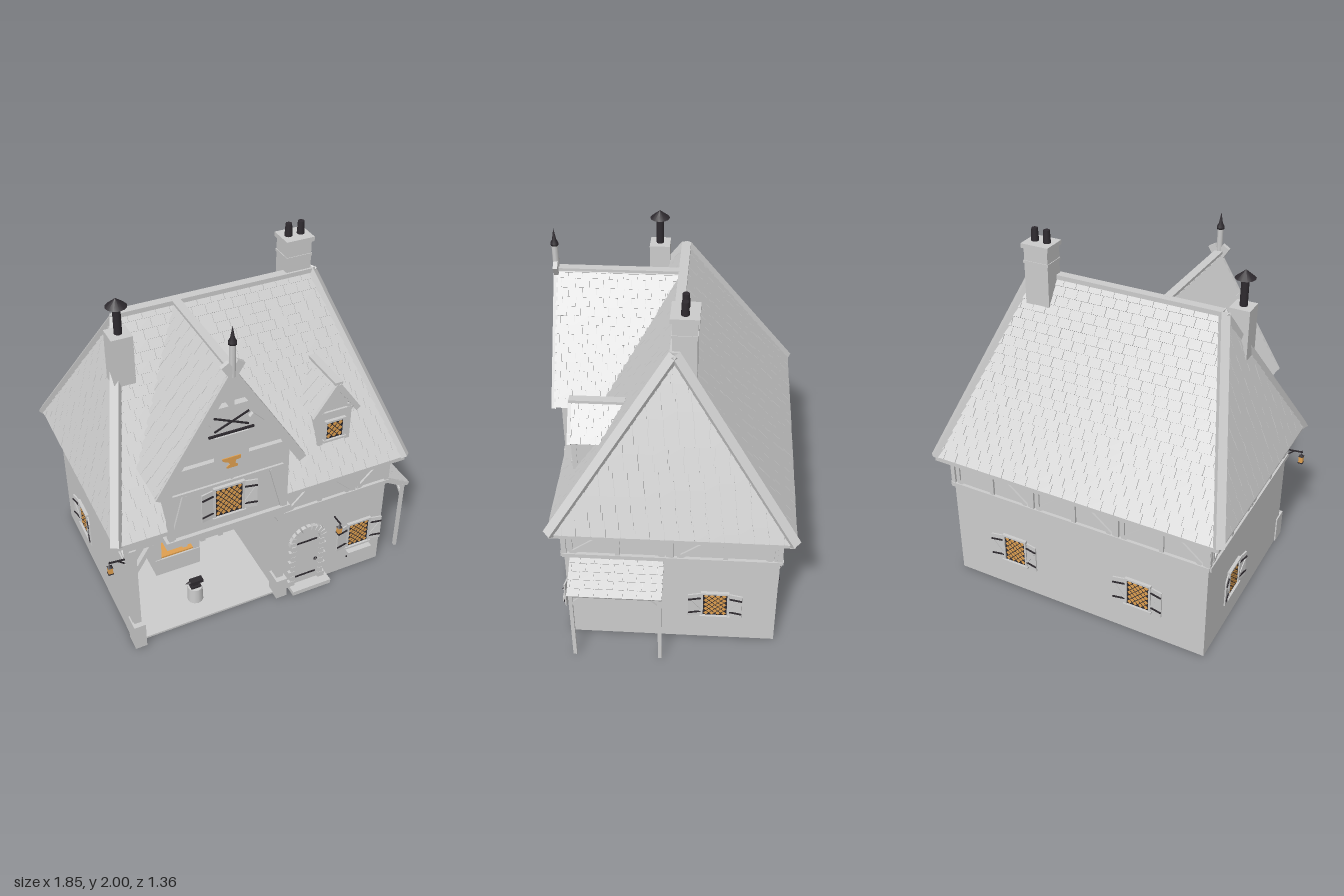
import * as THREE from 'three';
import { mergeGeometries } from 'three/addons/utils/BufferGeometryUtils.js';
import { ConvexGeometry } from 'three/addons/geometries/ConvexGeometry.js';

const V = (x, y, z) => new THREE.Vector3(x, y, z);

export function createModel() {
  const model = new THREE.Group();
  const mat = (name, color) => Object.assign(new THREE.MeshStandardMaterial({ color }), { name });
  const grey = mat('pale grey', 0xcccccc), iron = mat('dark iron', 0x2e2a2f), amber = mat('amber glow', 0xe0a050);

  let seed = 7;
  const rand = () => (seed = (seed * 16807) % 2147483647) / 2147483647;

  const add = (parent, name, geo, m, x = 0, y = 0, z = 0) => {
    const mesh = new THREE.Mesh(geo, m);
    mesh.name = name;
    mesh.position.set(x, y, z);
    parent.add(mesh);
    return mesh;
  };
  const group = (name, x = 0, y = 0, z = 0, ry = 0, parent = model) => {
    const g = new THREE.Group();
    g.name = name;
    g.position.set(x, y, z);
    g.rotation.y = ry;
    parent.add(g);
    return g;
  };
  const box = (p, name, m, x0, x1, y0, y1, z0, z1) =>
    add(p, name, new THREE.BoxGeometry(x1 - x0, y1 - y0, z1 - z0), m, (x0 + x1) / 2, (y0 + y1) / 2, (z0 + z1) / 2);
  // straight timber from a to b; d is its depth along the facing direction
  const beam = (p, name, m, a, b, w, d, facing = V(0, 0, 1)) => {
    const y = b.clone().sub(a), len = y.length();
    y.normalize();
    const x = y.clone().cross(facing).normalize(), z = x.clone().cross(y);
    const mesh = add(p, name, new THREE.BoxGeometry(w, len, d), m);
    mesh.quaternion.setFromRotationMatrix(new THREE.Matrix4().makeBasis(x, y, z));
    mesh.position.copy(a).lerp(b, 0.5);
    return mesh;
  };
  const plate = (points, depth) => new THREE.ExtrudeGeometry(
    new THREE.Shape(points.map(([x, y]) => new THREE.Vector2(x, y))), { depth, bevelEnabled: false });

  // courses of lapped shingles; a, b run along the eave left to right, ta, tb along the top
  const shingles = (name, a, b, ta, tb, rows, width = 0.075) => {
    const u = b.clone().sub(a).normalize(), rise = ta.clone().sub(a);
    const v = rise.clone().addScaledVector(u, -rise.dot(u)), h = v.length() / rows;
    v.normalize();
    const n = u.clone().cross(v), tiles = [];
    const tilt = v.clone().addScaledVector(n, -0.1).normalize(), out = u.clone().cross(tilt);
    for (let i = 0; i < rows; i++) {
      const t = (i + 0.5) / rows, l = a.clone().lerp(ta, t), len = b.clone().lerp(tb, t).sub(l).dot(u);
      for (let s = -(i % 2) * width / 2 - rand() * width * 0.3; s < len; s += width) {
        const s0 = Math.max(s, 0), s1 = Math.min(s + width, len), th = 0.007 + rand() * 0.004;
        if (s1 - s0 < 0.008) continue;
        const c = l.clone().addScaledVector(u, (s0 + s1) / 2).addScaledVector(n, 0.003);
        tiles.push(new THREE.BoxGeometry(s1 - s0 - 0.002, h * 1.04, th)
          .applyMatrix4(new THREE.Matrix4().makeBasis(u, tilt, out).setPosition(c)));
      }
    }
    add(model, name, mergeGeometries(tiles), grey);
  };
  const slab = (name, pts, thick) => {
    const n = pts[1].clone().sub(pts[0]).cross(pts[2].clone().sub(pts[0])).normalize();
    add(model, name, new ConvexGeometry([...pts, ...pts.map(p => p.clone().addScaledVector(n, -thick))]), grey);
  };
  // pair of slopes for a cross gable running back into the main roof
  const gableRoof = (name, cx, ridge, half, eave, zf, zEave, zRidge, rows) => {
    for (const s of [1, -1]) {
      const f = V(cx + s * half, eave, zf), k = V(cx + s * half, eave, zEave);
      const tf = V(cx, ridge, zf), tk = V(cx, ridge, zRidge);
      const [a, b, ta, tb] = s > 0 ? [f, k, tf, tk] : [k, f, tk, tf];
      slab(name + 'Slab', [a, b, tb, ta], 0.022);
      shingles(name + 'Shingles', a, b, ta, tb, rows);
    }
    beam(model, name + 'RidgeCap', grey, V(cx, ridge + 0.005, zf), V(cx, ridge + 0.005, zRidge), 0.045, 0.016, V(0, 1, 0));
  };

  // ground floor walls, open workshop and its lining
  box(model, 'backWall', grey, -0.82, 0.73, 0, 0.79, -0.6, -0.57);
  box(model, 'leftHandWall', grey, -0.82, -0.79, 0, 0.79, -0.6, 0.53);
  box(model, 'rightHandWall', grey, 0.7, 0.73, 0, 0.79, -0.6, 0.53);
  box(model, 'doorWall', grey, 0.05, 0.73, 0, 0.79, 0.5, 0.53);
  box(model, 'workshopLintel', grey, -0.82, 0.08, 0.69, 0.79, 0.5, 0.535);
  box(model, 'workshopPartition', grey, 0.05, 0.08, 0, 0.72, -0.07, 0.52);
  box(model, 'workshopBackWall', grey, -0.8, 0.06, 0, 0.72, -0.07, -0.04);
  box(model, 'workshopCeiling', grey, -0.8, 0.06, 0.7, 0.72, -0.05, 0.52);
  box(model, 'workshopFloor', grey, -0.815, 0.06, 0, 0.012, -0.06, 0.53);
  for (const s of [-1, 1]) {
    const x = -0.365 + s * 0.43;
    box(model, 'workshopPost', grey, x - 0.02, x + 0.02, 0, 0.7, 0.49, 0.545);
    box(model, 'postFooting', grey, x - 0.033, x + 0.033, 0, s < 0 ? 0.165 : 0.135, 0.48, 0.575);
    beam(model, 'workshopBrace', grey, V(x - s * 0.01, 0.53, 0.52), V(x - s * 0.11, 0.69, 0.52), 0.025, 0.03);
  }

  // half-timbered band under the eaves
  const timberBand = (x, z, ry, L, n) => {
    const g = group('timberBand', x, 0, z, ry), h = L / 2;
    box(g, 'sill', grey, -h, h, 0.6, 0.625, -0.01, 0.018);
    box(g, 'wallPlate', grey, -h, h, 0.765, 0.79, -0.01, 0.018);
    for (let i = 0; i <= n; i++) {
      const px = -h + 0.012 + (L - 0.024) * i / n;
      box(g, 'stud', grey, px - 0.012, px + 0.012, 0.62, 0.77, -0.01, 0.013);
      if (i === n) continue;
      const q = (L - 0.024) / n, e = i % 2 ? 1 : -1, m = px + q / 2;
      beam(g, 'bandBrace', grey, V(m + e * q * 0.36, 0.625, 0.002), V(m - e * q * 0.3, 0.765, 0.002), 0.024, 0.018);
      box(g, 'shortStud', grey, m + e * q * 0.4, m + e * q * 0.4 + 0.018, 0.62, 0.77, -0.01, 0.01);
    }
  };
  timberBand(0.405, 0.53, 0, 0.67, 3);
  timberBand(-0.045, -0.6, Math.PI, 1.57, 6);
  timberBand(0.73, -0.035, Math.PI / 2, 1.15, 4);
  timberBand(-0.82, -0.035, -Math.PI / 2, 1.15, 4);

  // main hipped roof
  const ey = 0.81, c = [V(-0.89, ey, 0.59), V(0.795, ey, 0.59), V(0.795, ey, -0.665), V(-0.89, ey, -0.665)];
  const rl = V(-0.6, 1.735, -0.038), rr = V(0.5, 1.735, -0.038);
  add(model, 'mainRoof', new ConvexGeometry([...c, ...c.map(p => V(p.x, 0.782, p.z)), rl, rr]), grey);
  shingles('frontShingles', c[0], c[1], rl, rr, 21);
  shingles('rightHandShingles', c[1], c[2], rr, rr, 21);
  shingles('backShingles', c[2], c[3], rr, rl, 21);
  shingles('leftHandShingles', c[3], c[0], rl, rl, 21);
  c.forEach((p, i) => {
    const top = i === 1 || i === 2 ? rr : rl;
    beam(model, 'hipCap', grey, p, top, 0.05, 0.035, V(Math.sign(p.x) * 0.8, 0.6, Math.sign(p.z) * 0.6));
  });
  beam(model, 'ridgeCap', grey, rl, rr, 0.05, 0.025, V(0, 1, 0));

  // jettied front gable
  const G = -0.285;
  add(model, 'gableWall', plate([[-0.33, 0.73], [0.33, 0.73], [0.33, 1.17], [0, 1.7], [-0.33, 1.17]], 0.5), grey, G, 0, 0.1);
  gableRoof('gable', G, 1.735, 0.4, 1.1, 0.645, 0.4, -0.03, 15);
  const gable = group('gableTimber', G, 0, 0.6);
  box(gable, 'bottomBeam', grey, -0.35, 0.35, 0.71, 0.755, -0.07, 0.022);
  box(gable, 'middleRail', grey, -0.33, 0.33, 1.03, 1.045, -0.02, 0.012);
  box(gable, 'tieBeam', grey, -0.335, 0.335, 1.18, 1.205, -0.02, 0.025);
  box(gable, 'collarBeam', grey, -0.14, 0.14, 1.5, 1.525, -0.02, 0.035);
  box(gable, 'kingPost', grey, -0.014, 0.014, 1.5, 1.72, -0.02, 0.04);
  for (const s of [-1, 1]) {
    box(gable, 'cornerPost', grey, s * 0.32 - 0.014, s * 0.32 + 0.014, 0.75, 1.19, -0.02, 0.015);
    beam(gable, 'lowerBrace', grey, V(s * 0.31, 0.76, 0.003), V(s * 0.24, 1.03, 0.003), 0.024, 0.018);
    beam(gable, 'upperBrace', grey, V(s * 0.33, 1.2, 0.02), V(s * 0.11, 1.43, 0.02), 0.026, 0.02);
    beam(gable, 'bargeBoard', grey, V(s * 0.39, 1.085, 0.045), V(-s * 0.042, 1.775, 0.045 + s * 0.002), 0.045, 0.024);
  }
  for (let i = 0; i < 6; i++) box(gable, 'joistEnd', grey, -0.26 + i * 0.1, -0.235 + i * 0.1, 0.685, 0.715, -0.07, 0.01);
  add(model, 'finialPost', new THREE.CylinderGeometry(0.017, 0.017, 0.18, 8), grey, G, 1.79, 0.645);
  add(model, 'finialSpire', new THREE.LatheGeometry([[0.001, 0], [0.022, 0], [0.022, 0.012], [0.012, 0.03], [0, 0.095]]
    .map(([x, y]) => new THREE.Vector2(x, y)), 8), iron, G, 1.875, 0.645);

  // hanging shield with crossed tools
  const sign = group('hangingSign', G, 0, 0.632);
  add(sign, 'shield', plate([[-0.09, 1.36], [-0.09, 1.13], [0, 1.08], [0.09, 1.13], [0.09, 1.36]], 0.012), grey);
  add(sign, 'anvilEmblem', plate([[-0.055, 1.225], [-0.05, 1.21], [-0.02, 1.195], [-0.012, 1.182], [-0.03, 1.17], [-0.03, 1.16],
    [0.03, 1.16], [0.03, 1.17], [0.015, 1.182], [0.02, 1.2], [0.045, 1.205], [0.045, 1.225]], 0.005), amber, 0, 0, 0.012);
  beam(sign, 'signBar', iron, V(-0.12, 1.372, 0.006), V(0.12, 1.372, 0.006), 0.01, 0.01);
  for (const s of [-1, 1]) beam(sign, 'crossedTool', iron, V(-s * 0.09, 1.395, 0.006), V(s * 0.09, 1.475, 0.006 + s * 0.003), 0.009, 0.006);

  // leaded window with open shutters, facing local +z
  const windowUnit = (x, y, z, ry, w, h, shutters = true) => {
    const g = group('window', x, y, z, ry), a = w / 2, b = h / 2, f = 0.012;
    box(g, 'leading', iron, -a, a, -b, b, 0, 0.008);
    box(g, 'windowSill', grey, -a - 0.018, a + 0.018, -b - f, -b, 0, 0.022);
    box(g, 'windowHead', grey, -a - f, a + f, b, b + f, 0, 0.018);
    const cols = Math.round(w / 0.029), rows = Math.round(h / 0.036), panes = [];
    for (let j = 0; j < rows * 2 - 1; j++) for (let i = 0; i < cols - (j % 2); i++)
      panes.push(new THREE.CircleGeometry(1, 4).scale(w / cols * 0.42, h / rows * 0.42, 1)
        .translate(-a + w / cols * (i + 0.5 + (j % 2) / 2), -b + h / rows * (j + 1) / 2, 0.0095));
    add(g, 'glassPanes', mergeGeometries(panes), amber);
    for (const s of [-1, 1]) {
      box(g, 'windowJamb', grey, s * (a + f / 2) - f / 2, s * (a + f / 2) + f / 2, -b, b, 0, 0.016);
      if (!shutters) continue;
      const sh = group('shutter', s * (a + f), 0, 0.006, -s * 0.2, g), o = s * 0.036;
      box(sh, 'shutterBoard', grey, o - 0.034, o + 0.034, -b, b, -0.004, 0.004);
      beam(sh, 'shutterBrace', grey, V(0, -b * 0.6, 0.006), V(s * 0.066, b * 0.6, 0.006), 0.012, 0.006);
      for (const t of [-0.62, 0.62]) box(sh, 'strapHinge', iron, o - 0.034, o + 0.034, b * t - 0.004, b * t + 0.004, 0.004, 0.01);
    }
  };
  windowUnit(0.575, 0.272, 0.53, 0, 0.13, 0.165);
  windowUnit(G, 0.915, 0.6, 0, 0.15, 0.18);
  windowUnit(0.73, 0.272, -0.27, Math.PI / 2, 0.13, 0.165);
  windowUnit(-0.82, 0.272, -0.24, -Math.PI / 2, 0.13, 0.165);
  for (const x of [0.345, -0.43]) windowUnit(x, 0.272, -0.6, Math.PI, 0.13, 0.165);
  box(model, 'flowerBox', grey, 0.495, 0.65, 0.14, 0.172, 0.53, 0.58);
  for (const x of [0.515, 0.63]) beam(model, 'flowerBoxBracket', iron, V(x, 0.1, 0.535), V(x, 0.14, 0.565), 0.012, 0.01);

  // roof dormer
  const D = 0.385;
  add(model, 'dormerWall', plate([[-0.09, 0.98], [0.09, 0.98], [0.09, 1.22], [0, 1.335], [-0.09, 1.22]], 0.3), grey, D, 0, 0.185);
  gableRoof('dormer', D, 1.36, 0.13, 1.18, 0.505, 0.345, 0.22, 5);
  for (const s of [-1, 1]) {
    beam(model, 'dormerBarge', grey, V(D + s * 0.13, 1.172, 0.5), V(D, 1.355, 0.5), 0.028, 0.018);
    box(model, 'dormerPost', grey, D + s * 0.082 - 0.013, D + s * 0.082 + 0.013, 0.98, 1.21, 0.47, 0.495);
  }
  box(model, 'dormerBeam', grey, D - 0.1, D + 0.1, 1.17, 1.19, 0.47, 0.497);
  windowUnit(D, 1.065, 0.485, 0, 0.1, 0.11, false);

  // arched door with stone surround
  const door = group('door', 0.238, 0, 0.53), leaf = new THREE.Shape();
  leaf.moveTo(-0.075, 0.03).lineTo(0.075, 0.03).lineTo(0.075, 0.345).absarc(0, 0.345, 0.075, 0, Math.PI);
  add(door, 'doorLeaf', new THREE.ExtrudeGeometry(leaf, { depth: 0.008, bevelEnabled: false }), grey);
  for (const y of [0.085, 0.345]) box(door, 'doorStrap', iron, -0.07, 0.06, y - 0.004, y + 0.004, 0.008, 0.014);
  add(door, 'doorHandle', new THREE.TorusGeometry(0.009, 0.003, 5, 10), iron, 0.057, 0.185, 0.012);
  for (let i = 0; i < 11; i++) {
    const t = Math.PI * (i + 0.5) / 11;
    beam(door, 'archStone', grey, V(Math.cos(t) * 0.076, 0.345 + Math.sin(t) * 0.076, 0.008),
      V(Math.cos(t) * 0.118, 0.345 + Math.sin(t) * 0.118, 0.008), 0.024, 0.03);
  }
  for (const s of [-1, 1]) for (let i = 0; i < 8; i++) {
    const w = i % 2 ? 0.028 : 0.042, x = s * (0.076 + w / 2);
    box(door, 'jambStone', grey, x - w / 2, x + w / 2, 0.03 + i * 0.039, 0.066 + i * 0.039, -0.01, 0.022);
  }
  box(door, 'doorStep', grey, -0.108, 0.137, 0, 0.028, -0.02, 0.068);

  // forge with sloped hood and glowing bed
  const forge = group('forge', -0.39, 0, 0.04);
  box(forge, 'forgeBase', grey, -0.14, 0.14, 0, 0.13, -0.09, 0.09);
  box(forge, 'emberBed', amber, -0.1, 0.1, 0.13, 0.14, -0.08, 0.08);
  box(forge, 'forgeBack', grey, -0.14, 0.14, 0.13, 0.29, -0.09, -0.07);
  for (const s of [-1, 1]) box(forge, 'forgeCheek', grey, s * 0.12 - 0.02, s * 0.12 + 0.02, 0.13, 0.29, -0.09, 0.085);
  const hood = [[0.15, 0.285, 0.1], [0.15, 0.3, 0.1], [0.06, 0.45, 0]];
  add(forge, 'forgeHood', new ConvexGeometry(hood.flatMap(([x, y, z]) => [V(x, y, z), V(-x, y, z), V(x, y, -0.09), V(-x, y, -0.09)])), grey);
  box(forge, 'forgeFlue', grey, -0.06, 0.06, 0.44, 0.71, -0.09, 0);
  add(model, 'anvilStump', new THREE.CylinderGeometry(0.043, 0.046, 0.1, 12), grey, -0.39, 0.06, 0.38);
  const anvil = group('anvil', -0.39, 0.11, 0.38);
  box(anvil, 'anvilFoot', iron, -0.03, 0.03, 0, 0.012, -0.022, 0.022);
  box(anvil, 'anvilWaist', iron, -0.016, 0.016, 0.01, 0.03, -0.012, 0.012);
  box(anvil, 'anvilTop', iron, -0.03, 0.045, 0.028, 0.048, -0.018, 0.018);
  add(anvil, 'anvilHorn', new THREE.ConeGeometry(0.012, 0.035, 8).rotateZ(Math.PI / 2), iron, -0.045, 0.036, 0);

  // chimneys
  box(model, 'forgeChimney', grey, -0.7, -0.587, 1.2, 1.72, 0.055, 0.168);
  add(model, 'stovePipe', new THREE.CylinderGeometry(0.021, 0.021, 0.17, 12), iron, -0.643, 1.795, 0.112);
  add(model, 'pipeHood', new THREE.ConeGeometry(0.055, 0.045, 12), iron, -0.643, 1.893, 0.112);
  box(model, 'houseChimney', grey, 0.345, 0.487, 1.45, 1.91, -0.145, -0.025);
  box(model, 'chimneyCap', grey, 0.336, 0.498, 1.905, 1.93, -0.155, -0.015);
  box(model, 'chimneyBand', grey, 0.341, 0.491, 1.82, 1.835, -0.149, -0.021);
  for (const x of [0.38, 0.452]) add(model, 'chimneyPot', new THREE.CylinderGeometry(0.017, 0.021, 0.075, 12), iron, x, 1.9625, -0.085);

  // lean-to canopy on the side
  const ca = [V(0.92, 0.49, 0.5), V(0.92, 0.49, 0.005), V(0.73, 0.602, 0.005), V(0.73, 0.602, 0.5)];
  slab('canopyRoof', ca, 0.014);
  shingles('canopyShingles', ca[0], ca[1], ca[3], ca[2], 5);
  box(model, 'canopyBeam', grey, 0.88, 0.9, 0.465, 0.488, 0.01, 0.495);
  [[0.485, -1], [0.02, 1]].forEach(([z, s]) => {
    box(model, 'canopyPost', grey, 0.882, 0.898, 0, 0.48, z - 0.01, z + 0.01);
    beam(model, 'canopyBrace', grey, V(0.89, 0.4, z), V(0.89, 0.47, z + s * 0.07), 0.014, 0.012, V(1, 0, 0));
    beam(model, 'canopyRafter', grey, V(0.73, 0.575, z), V(0.9, 0.475, z), 0.014, 0.014);
  });

  // lanterns
  const lantern = (x, y, z) => {
    const g = group('lantern', x, y, z);
    box(g, 'lanternGlass', amber, -0.012, 0.012, -0.02, 0.018, -0.012, 0.012);
    box(g, 'lanternBase', iron, -0.014, 0.014, -0.026, -0.02, -0.014, 0.014);
    add(g, 'lanternCap', new THREE.ConeGeometry(0.02, 0.016, 4).rotateY(Math.PI / 4), iron, 0, 0.026, 0);
    add(g, 'lanternHook', new THREE.CylinderGeometry(0.002, 0.002, 0.03, 5), iron, 0, 0.044, 0);
  };
  lantern(-0.915, 0.612, 0.53);
  beam(model, 'lanternArm', iron, V(-0.82, 0.65, 0.53), V(-0.92, 0.66, 0.53), 0.007, 0.007);
  beam(model, 'lanternStay', iron, V(-0.82, 0.61, 0.53), V(-0.87, 0.653, 0.53), 0.006, 0.006);
  lantern(0.41, 0.405, 0.59);
  beam(model, 'doorLanternArm', iron, V(0.41, 0.455, 0.53), V(0.41, 0.455, 0.6), 0.007, 0.007, V(0, 1, 0));
  lantern(0.84, 0.482, 0.25);
  for (const x of [-0.645, -0.105]) lantern(x, 0.675, 0.4);

  return model;
}
